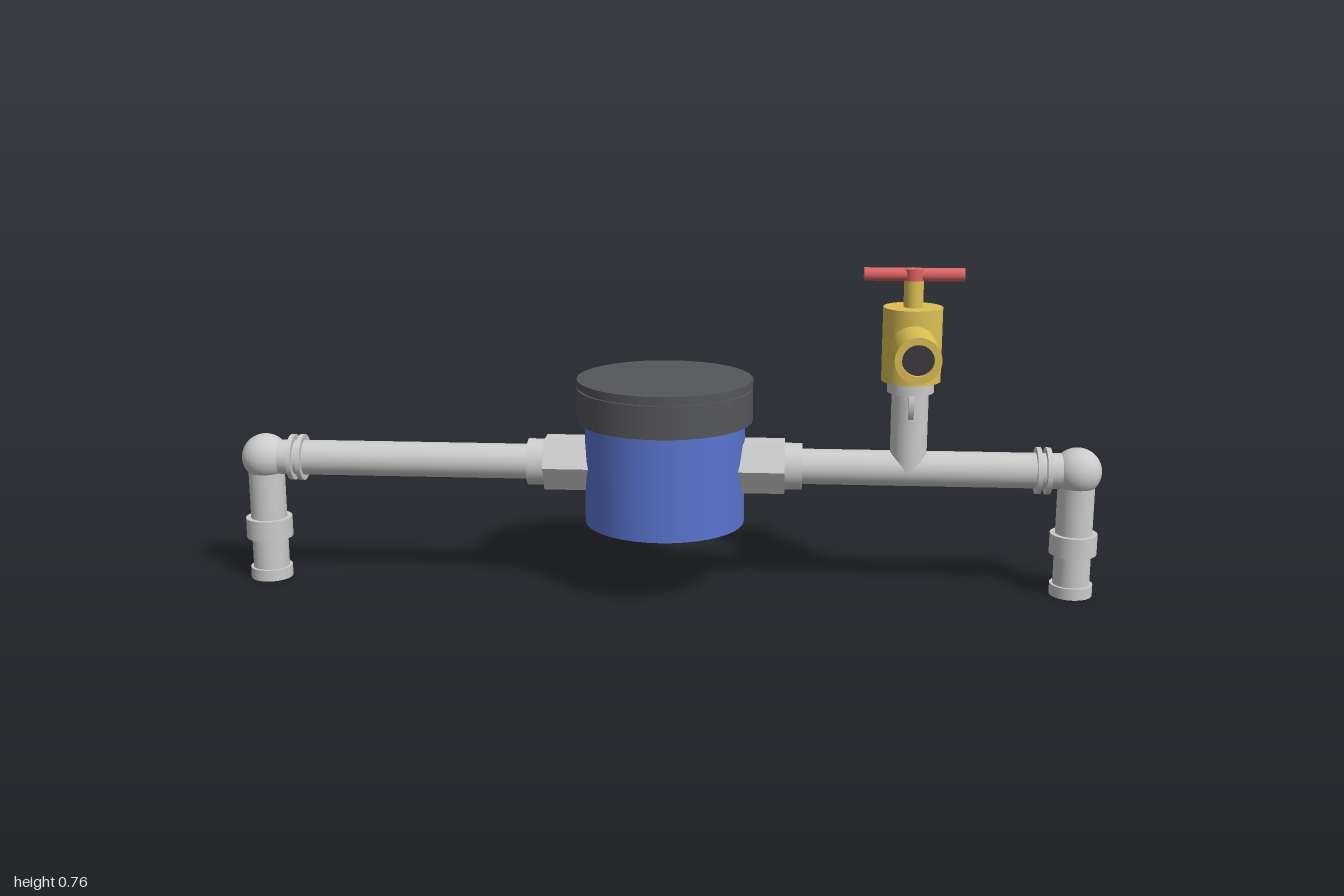
import * as THREE from 'three';

const mat = (color) => new THREE.MeshStandardMaterial({ color });
const steel = mat(0xcccccc);
const blue = mat(0x5b74d0);
const dark = mat(0x55565a);
const brass = mat(0xdcc055);
const red = mat(0xdc6464);
const black = mat(0x3c3a40);

const PIPE_Y = 0.295;
const LEG_X = 0.945;
const TAP_X = 0.56;

function add(parent, name, geometry, material, x = 0, y = 0, z = 0) {
  const mesh = new THREE.Mesh(geometry, material);
  mesh.name = name;
  mesh.position.set(x, y, z);
  parent.add(mesh);
  return mesh;
}

// Upright cylinder between two heights
function upright(parent, name, r, y0, y1, material, x = 0) {
  return add(parent, name, new THREE.CylinderGeometry(r, r, y1 - y0, 40), material, x, (y0 + y1) / 2);
}

// Cylinder along x between two positions
function along(parent, name, r, x0, x1, y, material, sides = 40) {
  const g = new THREE.CylinderGeometry(r, r, x1 - x0, sides).toNonIndexed();
  if (sides < 10) g.computeVertexNormals();
  g.rotateZ(Math.PI / 2);
  return add(parent, name, g, material, (x0 + x1) / 2, y);
}

// One side of the pipework, drawn towards +x
function pipeSide() {
  const side = new THREE.Group();
  along(side, 'hexNut', 0.067, 0.15, 0.278, PIPE_Y, steel, 6);
  along(side, 'nutSleeve', 0.054, 0.278, 0.318, PIPE_Y, steel);
  along(side, 'pipe', 0.041, 0.3, LEG_X, PIPE_Y, steel);
  for (const x of [0.85, 0.872]) along(side, 'pipeRing', 0.054, x, x + 0.011, PIPE_Y, steel);
  add(side, 'elbow', new THREE.SphereGeometry(0.055, 40, 24), steel, LEG_X, PIPE_Y);
  upright(side, 'leg', 0.042, 0.01, PIPE_Y, steel, LEG_X);
  upright(side, 'legCoupling', 0.054, 0.1, 0.148, steel, LEG_X);
  upright(side, 'footCollar', 0.049, 0, 0.027, steel, LEG_X);
  return side;
}

export function createModel() {
  const model = new THREE.Group();
  model.name = 'waterMeter';

  // Meter body and cap
  const meter = new THREE.Group();
  meter.name = 'meter';
  model.add(meter);
  upright(meter, 'body', 0.185, 0.16, 0.41, blue);
  upright(meter, 'capRing', 0.203, 0.402, 0.478, dark);
  upright(meter, 'lidGap', 0.197, 0.47, 0.49, dark);
  upright(meter, 'lid', 0.203, 0.482, 0.499, dark);

  // Pipework on both sides
  const left = pipeSide();
  left.name = 'leftPipework';
  const right = pipeSide();
  right.name = 'rightPipework';
  right.rotation.y = Math.PI;
  model.add(left, right);

  // Riser with its collar and thin fin
  const tap = new THREE.Group();
  tap.name = 'tap';
  model.add(tap);
  upright(tap, 'riser', 0.042, PIPE_Y, 0.5, steel, TAP_X);
  upright(tap, 'riserCollar', 0.053, 0.476, 0.505, steel, TAP_X);
  along(tap, 'riserFin', 0.055, TAP_X - 0.006, TAP_X + 0.006, 0.455, steel);

  // Tap body, stem and handle
  upright(tap, 'tapBody', 0.067, 0.502, 0.671, brass, TAP_X);
  upright(tap, 'stem', 0.022, 0.66, 0.731, brass, TAP_X);
  upright(tap, 'handleHub', 0.022, 0.731, 0.757, red, TAP_X);
  along(tap, 'handleBar', 0.015, TAP_X - 0.112, TAP_X + 0.112, 0.744, red);

  // Spout with an open bore
  const profile = [[0.051, 0], [0.051, 0.203], [0.051, 0.203], [0.035, 0.203], [0.035, 0.203], [0.035, 0.18]];
  const spout = new THREE.LatheGeometry(profile.map(([r, h]) => new THREE.Vector2(r, h)), 40);
  spout.rotateX(Math.PI / 2);
  const spoutMat = brass.clone();
  spoutMat.side = THREE.DoubleSide;
  add(tap, 'spout', spout, spoutMat, TAP_X, 0.587);
  add(tap, 'spoutBore', new THREE.CircleGeometry(0.036, 40), black, TAP_X, 0.587, 0.19);

  return model;
}
